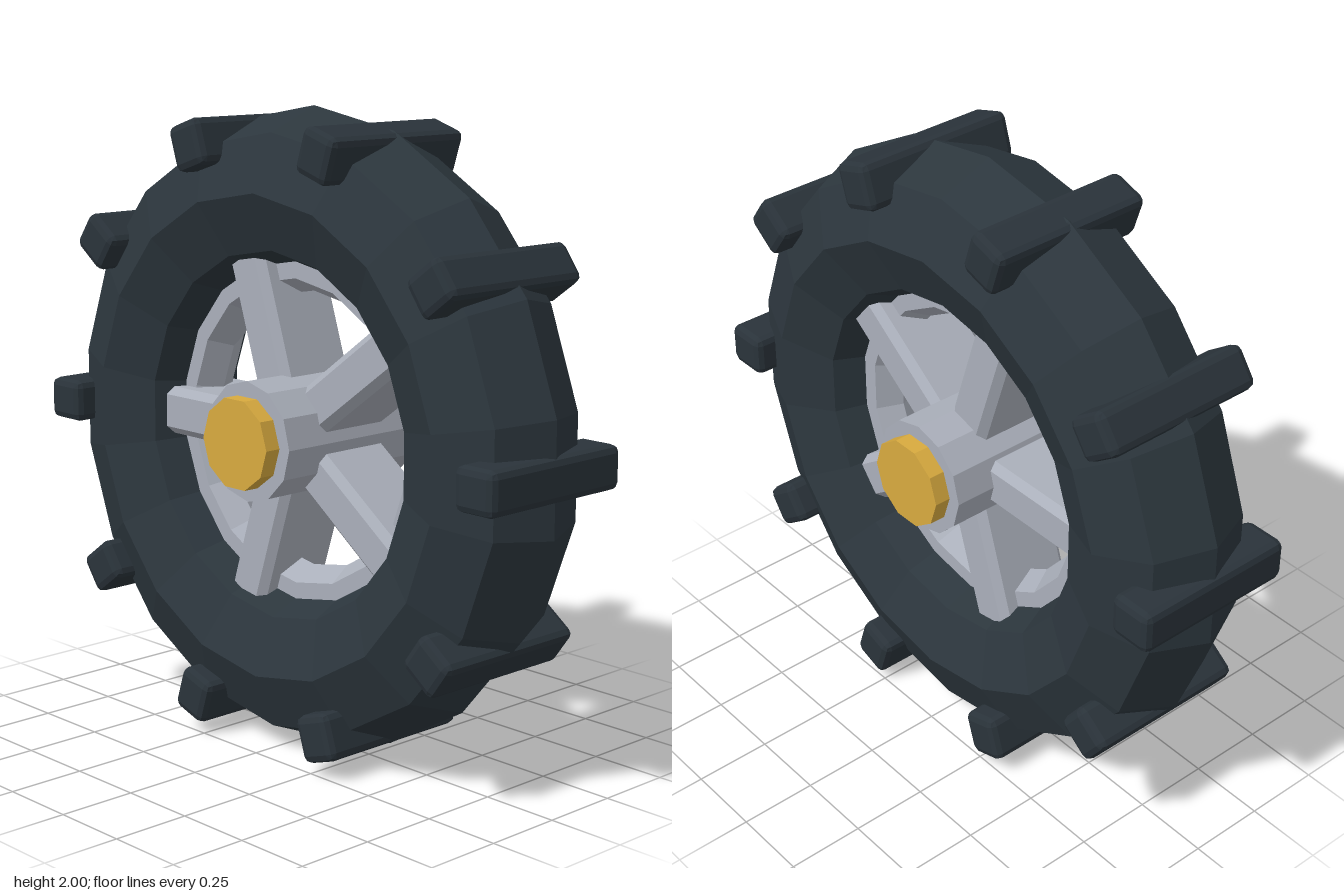
import * as THREE from 'three';
import { RoundedBoxGeometry } from 'three/addons/geometries/RoundedBoxGeometry.js';

const AXLE_Y = 1;

// Give every face its own normal for a faceted look
function faceted(geometry) {
  const g = geometry.index ? geometry.toNonIndexed() : geometry;
  g.computeVertexNormals();
  return g;
}

function material(name, color) {
  const m = new THREE.MeshStandardMaterial({ color });
  m.name = name;
  return m;
}

// Ring around the x axis, with a corner at the top
function ring(radius, tube, sides) {
  return faceted(new THREE.TorusGeometry(radius, tube, sides, 18).rotateZ(Math.PI / 2).rotateY(Math.PI / 2));
}

// Solid cylinder lying along the x axis, with a corner towards the front
function axial(radius, length, sides) {
  return faceted(new THREE.CylinderGeometry(radius, radius, length, sides).rotateZ(Math.PI / 2));
}

export function createModel() {
  const model = new THREE.Group();
  model.name = 'wheel';
  const wheel = new THREE.Group();
  wheel.name = 'wheelAssembly';
  wheel.position.y = AXLE_Y;
  model.add(wheel);

  const rubber = material('dark rubber', 0x2c363d);
  const tread = material('tread rubber', 0x2a333a);
  const metal = material('light metal', 0xaaafba);
  const gold = material('gold', 0xd8aa3f);

  const add = (name, geometry, mat, parent = wheel) => {
    const mesh = new THREE.Mesh(geometry, mat);
    mesh.name = name;
    parent.add(mesh);
    return mesh;
  };

  // Tyre and the rim set in its inner edge
  add('tyre', ring(0.75, 0.25, 8), rubber);
  add('rim', ring(0.525, 0.09, 6), metal);

  // Hub with a gold cap on each side
  add('hub', axial(0.187, 0.555, 12), metal);
  for (const side of [-1, 1]) {
    add('hubCap', axial(0.144, 0.06, 10), gold).position.x = side * 0.3;
  }

  // Five deep spokes with bevelled long edges
  const halfDepth = 0.14, halfWidth = 0.077, bevel = 0.024;
  const section = new THREE.Shape([
    [halfDepth, halfWidth - bevel], [halfDepth - bevel, halfWidth],
    [bevel - halfDepth, halfWidth], [-halfDepth, halfWidth - bevel],
    [-halfDepth, bevel - halfWidth], [bevel - halfDepth, -halfWidth],
    [halfDepth - bevel, -halfWidth], [halfDepth, bevel - halfWidth],
  ].map(([x, y]) => new THREE.Vector2(x, y)));
  const spokeGeometry = faceted(
    new THREE.ExtrudeGeometry(section, { depth: 0.46, bevelEnabled: false }).translate(0, 0, 0.1));
  for (let i = 0; i < 5; i++) {
    add('spoke', spokeGeometry, metal).rotation.x = Math.PI + (i * Math.PI * 2) / 5;
  }

  // Ten chamfered tread bars across the tyre
  const barGeometry = faceted(new RoundedBoxGeometry(0.55, 0.136, 0.148, 1, 0.024).translate(0, 0, 0.922));
  for (let i = 0; i < 10; i++) {
    add('treadBar', barGeometry, tread).rotation.x = (i * Math.PI * 2) / 10;
  }

  return model;
}
